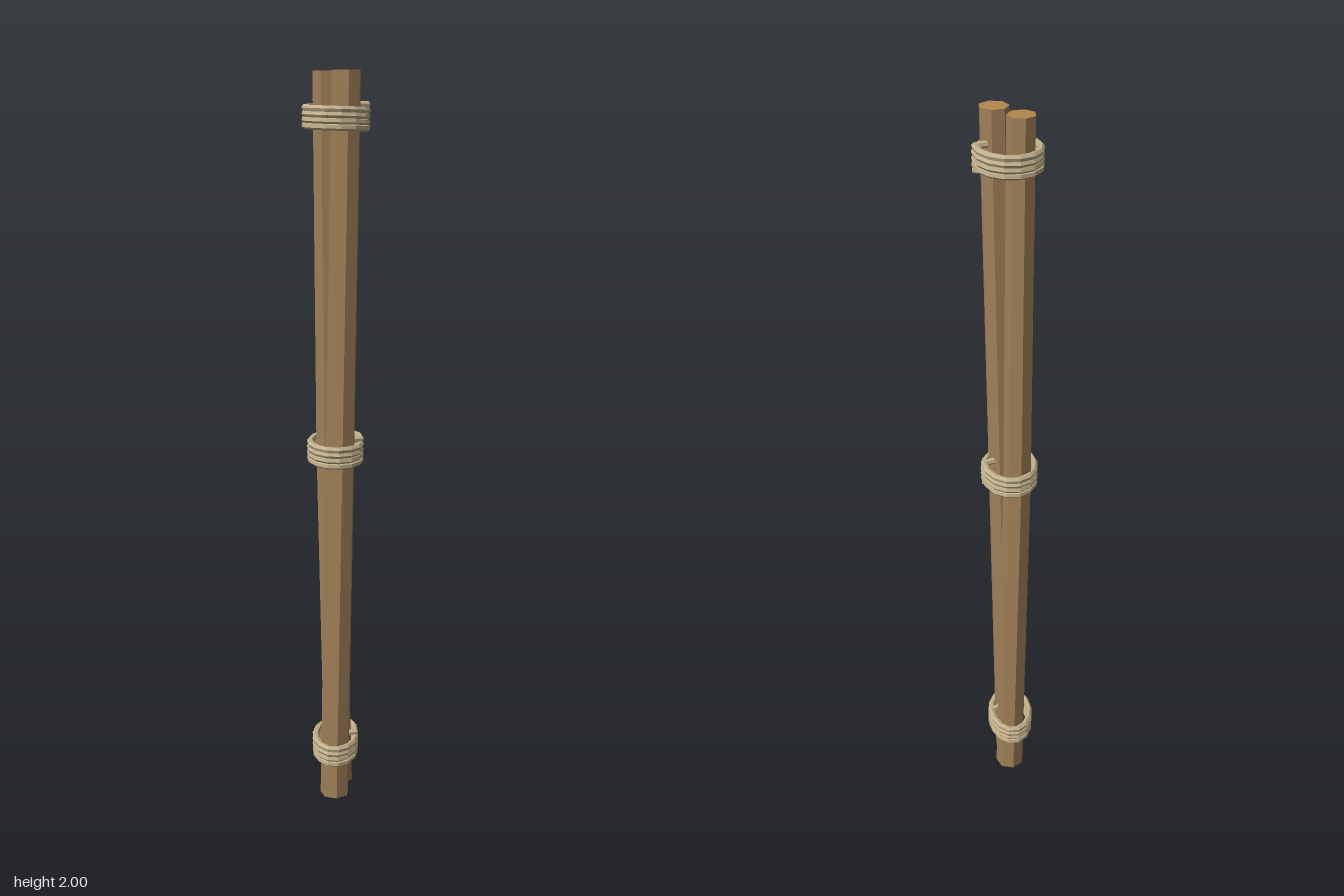
import * as THREE from 'three';

const bark = new THREE.MeshStandardMaterial({ color: 0xa08058, flatShading: true });
const cutWood = new THREE.MeshStandardMaterial({ color: 0xb5874f, flatShading: true });
const ropeMat = new THREE.MeshStandardMaterial({ color: 0xc2b18c, flatShading: true });

// Seven-sided pole whose rings are shifted along bottom, middle and top centres [x, z]
function pole(name, rTop, rBottom, turn, bottom, middle, top) {
  const geo = new THREE.CylinderGeometry(rTop, rBottom, 2, 7, 2);
  geo.rotateY(turn);
  geo.translate(0, 1, 0);
  const p = geo.attributes.position;
  for (let i = 0; i < p.count; i++) {
    const y = p.getY(i);
    const [a, b, t] = y < 1 ? [bottom, middle, y] : [middle, top, y - 1];
    p.setX(i, p.getX(i) + THREE.MathUtils.lerp(a[0], b[0], t));
    p.setZ(i, p.getZ(i) + THREE.MathUtils.lerp(a[1], b[1], t));
  }
  geo.computeVertexNormals();
  const mesh = new THREE.Mesh(geo, [bark, cutWood, cutWood]);
  mesh.name = name;
  return mesh;
}

// Rope wound four times round the poles, both ends tucked inwards on the left side
function lashing(name, y, x, z, rx, rz) {
  const turns = 4, steps = 14, pitch = 0.0145, r = 0.009;
  const points = [new THREE.Vector3(x + rx - 0.042, y - turns * pitch / 2, z - 0.02)];
  for (let i = 0; i <= turns * steps; i++) {
    const a = i / steps * Math.PI * 2;
    points.push(new THREE.Vector3(
      x + rx * Math.cos(a), y + (i / steps - turns / 2) * pitch, z + rz * Math.sin(a)));
  }
  points.push(new THREE.Vector3(x + rx - 0.03, y + turns * pitch / 2, z + 0.012));
  const path = new THREE.CurvePath();
  for (let i = 1; i < points.length; i++) path.add(new THREE.LineCurve3(points[i - 1], points[i]));
  // Sample exactly at the winding points so the rope keeps its faceted look
  path.getPointAt = (u) => path.getPoint0(u);
  path.getPoint0 = (u) => {
    const f = u * (points.length - 1), k = Math.min(Math.floor(f + 1e-6), points.length - 2);
    return points[k].clone().lerp(points[k + 1], f - k);
  };
  path.getTangentAt = (u) => {
    const d = 0.5 / (points.length - 1);
    return path.getPoint0(Math.min(1, u + d)).sub(path.getPoint0(Math.max(0, u - d))).normalize();
  };
  const group = new THREE.Group();
  group.name = name;
  const rope = new THREE.Mesh(new THREE.TubeGeometry(path, points.length - 1, r, 6, false), ropeMat);
  rope.name = name + 'Coil';
  group.add(rope);
  // Cut rope ends
  [[0, -1], [1, 1]].forEach(([u, dir], i) => {
    const cap = new THREE.Mesh(new THREE.CircleGeometry(r, 6), ropeMat);
    const at = path.getPoint0(u);
    cap.position.copy(at);
    cap.lookAt(at.clone().addScaledVector(path.getTangentAt(u), dir));
    cap.name = name + (i ? 'UpperEnd' : 'LowerEnd');
    group.add(cap);
  });
  return group;
}

export function createModel() {
  const model = new THREE.Group();
  model.name = 'lashedPoles';
  model.add(
    pole('frontPole', 0.038, 0.041, 0.2, [-0.004, 0.034], [0.012, 0.04], [0.028, 0.052]),
    pole('backPole', 0.036, 0.041, 0.6, [0.0, -0.05], [-0.022, -0.036], [-0.03, -0.022]),
    lashing('lowerLashing', 0.14, -0.005, -0.008, 0.057, 0.094),
    lashing('middleLashing', 1.01, -0.004, 0.004, 0.069, 0.092),
    lashing('upperLashing', 1.887, -0.002, 0.013, 0.08, 0.089));
  return model;
}
